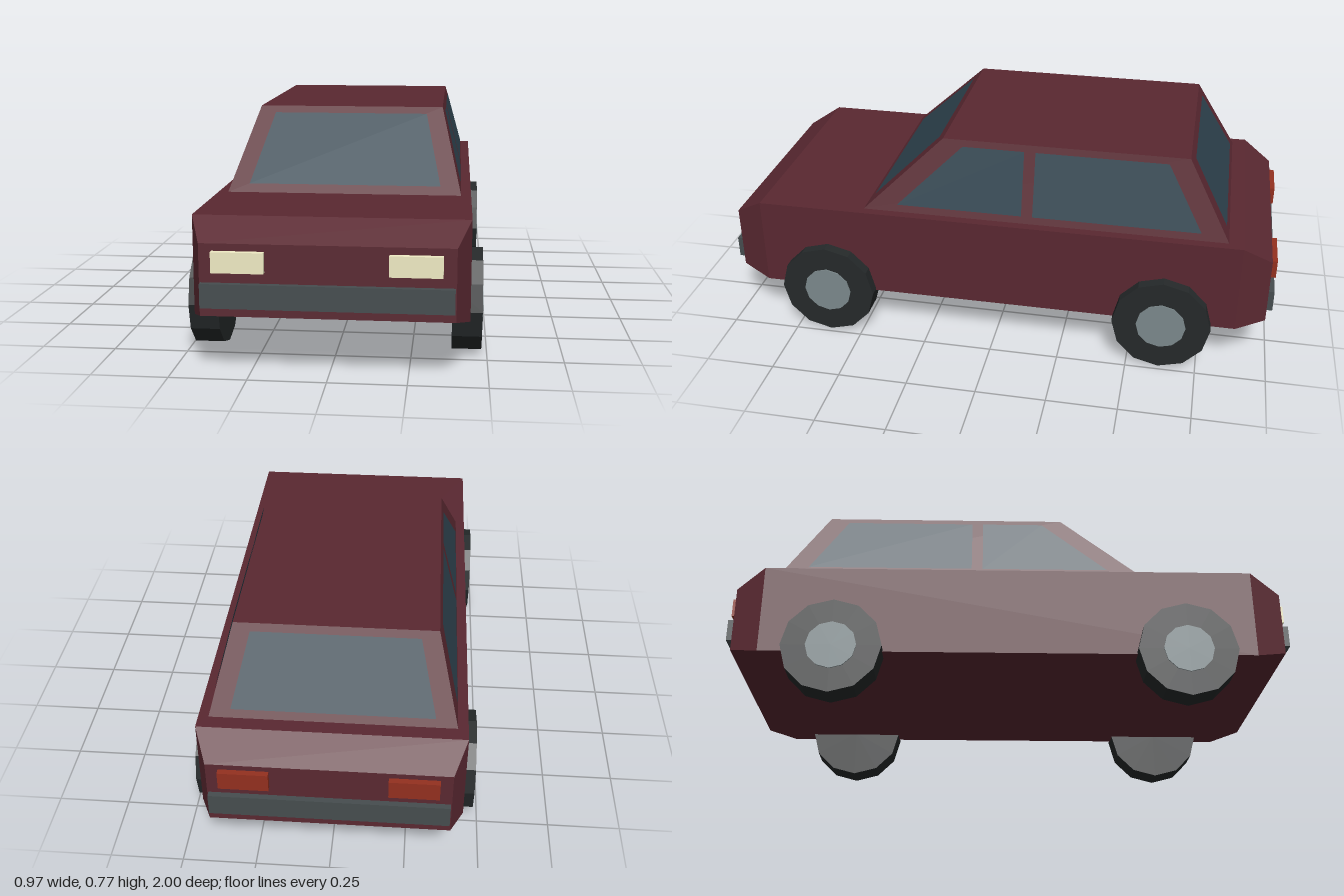
import * as THREE from 'three';

const mat = (color, side = THREE.FrontSide) =>
  new THREE.MeshStandardMaterial({ color, flatShading: true, side });

// Closed solid through four-cornered rings, each counter-clockwise seen from the end of travel
function loft(rings) {
  const pos = [];
  const quad = (a, b, c, d) => pos.push(...a, ...b, ...c, ...a, ...c, ...d);
  for (let r = 0; r < rings.length - 1; r++) {
    for (let i = 0; i < 4; i++) {
      const j = (i + 1) % 4;
      quad(rings[r][i], rings[r][j], rings[r + 1][j], rings[r + 1][i]);
    }
  }
  quad(...[...rings[0]].reverse());
  quad(...rings[rings.length - 1]);
  return fromPositions(pos);
}

function fromPositions(pos) {
  const g = new THREE.BufferGeometry();
  g.setAttribute('position', new THREE.Float32BufferAttribute(pos, 3));
  g.computeVertexNormals();
  return g;
}

// Flat pane from four corners
const pane = (a, b, c, d) => fromPositions([...a, ...b, ...c, ...a, ...c, ...d]);

export function createModel() {
  const car = new THREE.Group();
  car.name = 'car';
  const paint = mat(0x5a2831);
  const glass = mat(0x2f4450, THREE.DoubleSide);
  const rubber = mat(0x25292a);
  const steel = mat(0x7c898c);
  const bumperGrey = mat(0x464d4f);
  const headlightCream = mat(0xf0ebc4);
  const tailRed = mat(0x94301f);

  const add = (name, geometry, material, x = 0, y = 0, z = 0) => {
    const m = new THREE.Mesh(geometry, material);
    m.name = name;
    m.position.set(x, y, z);
    car.add(m);
    return m;
  };

  // Lower body: sections from tail to nose [z, half width, bottom, top]
  const sections = [
    [-0.98, 0.397, 0.19, 0.43],
    [-0.877, 0.441, 0.169, 0.496],
    [0.87, 0.441, 0.169, 0.496],
    [0.98, 0.397, 0.198, 0.43],
  ];
  add('body', loft(sections.map(([z, w, y0, y1]) =>
    [[-w, y0, z], [w, y0, z], [w, y1, z], [-w, y1, z]])), paint);

  // Cabin: half width and end positions follow the height
  const base = 0.496, roof = 0.77;
  const cabinAt = (y) => {
    const t = (y - base) / (roof - base);
    return { w: 0.407 - 0.072 * t, front: 0.482 - 0.287 * t, back: -0.826 + 0.154 * t };
  };
  add('cabin', loft([base, roof].map((y) => {
    const { w, front, back } = cabinAt(y);
    return [[-w, y, front], [w, y, front], [w, y, back], [-w, y, back]];
  })), paint);

  // Windscreen and rear window
  const lo = 0.523, hi = 0.748, gap = 0.004;
  const a = cabinAt(lo), b = cabinAt(hi);
  add('windscreen', pane(
    [-0.335, lo, a.front + gap], [0.335, lo, a.front + gap],
    [0.278, hi, b.front + gap], [-0.278, hi, b.front + gap]), glass);
  add('rearWindow', pane(
    [0.335, lo, a.back - gap], [-0.335, lo, a.back - gap],
    [-0.278, hi, b.back - gap], [0.278, hi, b.back - gap]), glass);

  for (const [side, s] of [['left', 1], ['right', -1]]) {
    // Side windows [front bottom, front top, back top, back bottom]
    const windows = {
      FrontWindow: [0.357, 0.123, -0.098, -0.098],
      BackWindow: [-0.138, -0.138, -0.602, -0.73],
    };
    for (const [name, [fb, ft, bt, bb]] of Object.entries(windows)) {
      const xl = s * (a.w + gap), xh = s * (b.w + gap);
      const p = [[xl, lo, fb], [xl, lo, bb], [xh, hi, bt], [xh, hi, ft]];
      add(side + name, pane(...(s > 0 ? p : p.reverse())), glass);
    }

    // Lights
    add(side + 'Headlight', new THREE.BoxGeometry(0.164, 0.066, 0.04), headlightCream,
      s * 0.274, 0.374, 0.98);
    add(side + 'TailLight', new THREE.BoxGeometry(0.164, 0.066, 0.04), tailRed,
      s * 0.274, 0.378, -0.98);

    // Wheels with hubcaps
    for (const [end, z] of [['Front', 0.62], ['Back', -0.617]]) {
      const tyre = new THREE.CylinderGeometry(0.175, 0.175, 0.098, 12).rotateY(Math.PI / 2).rotateZ(Math.PI / 2);
      add(side + end + 'Tyre', tyre, rubber, s * 0.432, 0.175, z);
      const hub = new THREE.CylinderGeometry(0.088, 0.088, 0.02, 12).rotateZ(Math.PI / 2);
      add(side + end + 'Hubcap', hub, steel, s * 0.475, 0.175, z);
    }
  }

  // Bumpers
  add('frontBumper', new THREE.BoxGeometry(0.786, 0.078, 0.04), bumperGrey, 0, 0.267, 0.98);
  add('backBumper', new THREE.BoxGeometry(0.786, 0.078, 0.04), bumperGrey, 0, 0.27, -0.98);

  return car;
}
